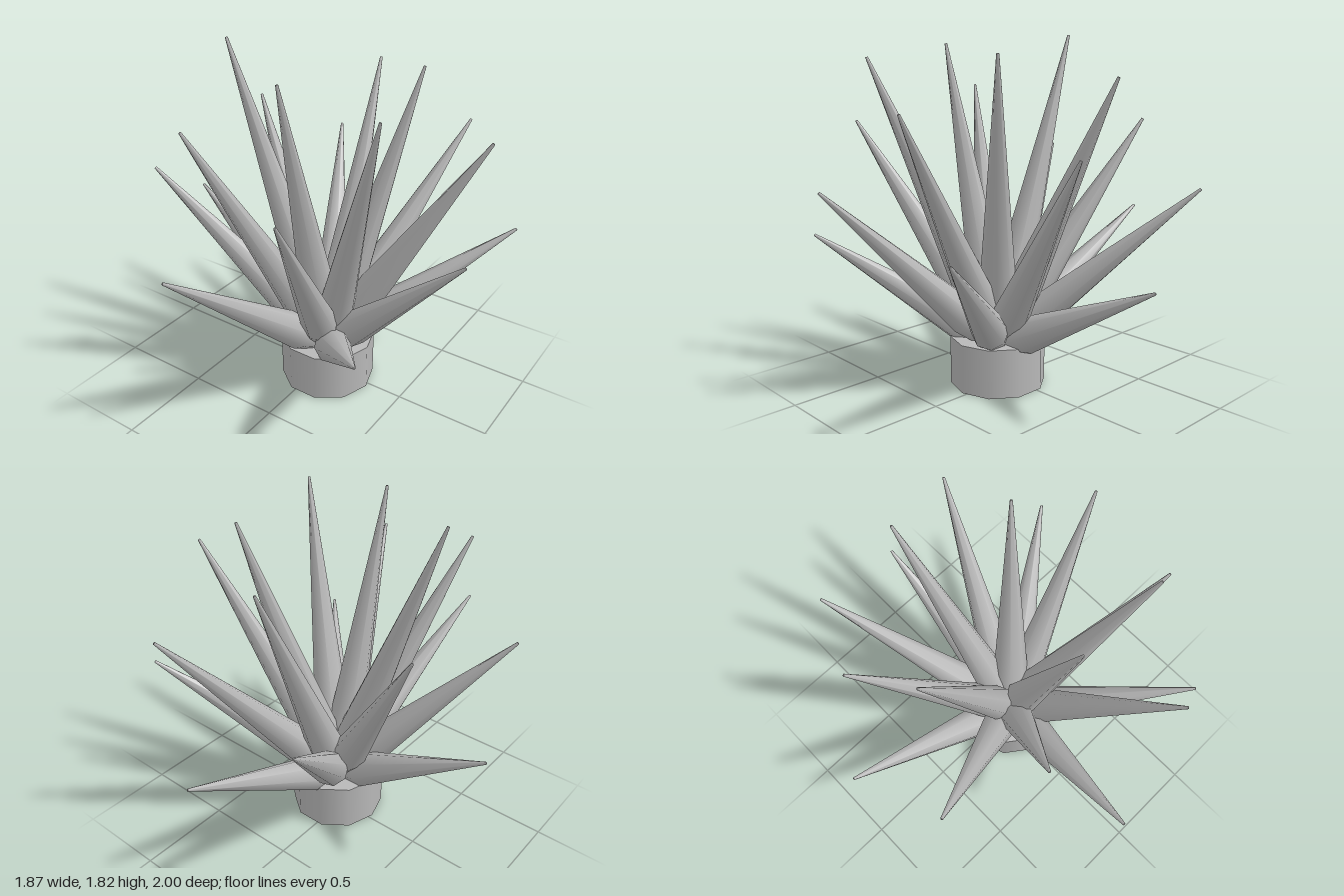
import * as THREE from 'three';

// Tip position of every leaf, [x, y, z]
const TIPS = [
  [0.09, 0.725, -1.0], [0.405, 1.31, -0.84], [0.84, 0.895, -0.54],
  [0.81, 1.48, -0.18], [0.93, 1.1, 0.29], [0.56, 1.71, 0.41],
  [0.685, 0.78, 0.77], [0.35, 1.36, 0.84], [0.05, 1.775, 0.42],
  [-0.16, 1.0, 0.99], [-0.34, 1.54, 0.63], [-0.77, 1.18, 0.4],
  [-0.53, 1.82, 0.07], [-0.93, 0.845, -0.11], [-0.66, 1.385, -0.35],
  [-0.45, 1.095, -0.86], [-0.065, 1.625, -0.65], [0.37, 1.73, -0.32],
];
const ROOT = new THREE.Vector3(0.05, 0.2, 0.025);
const UP = new THREE.Vector3(0, 1, 0);

// Leaf of unit length along y: narrow root, swollen lower part, long taper
function leafGeometry() {
  const profile = [[0, 0], [0.05, 0], [0.097, 0.21], [0.007, 1], [0, 1]];
  return new THREE.LatheGeometry(profile.map(([r, y]) => new THREE.Vector2(r, y)), 8);
}

export function createModel() {
  const model = new THREE.Group();
  model.name = 'spikyPlant';
  const grey = new THREE.MeshStandardMaterial({ color: 0xb8b8b8 });
  grey.name = 'grey';

  // Ten-sided stump the leaves grow from
  const base = new THREE.Mesh(new THREE.CylinderGeometry(0.253, 0.253, 0.26, 10), grey);
  base.name = 'base';
  base.rotation.y = Math.PI / 2;
  base.position.set(ROOT.x, 0.13, ROOT.z);
  model.add(base);

  // Leaves fan out from one root to their tips
  const leaves = new THREE.Group();
  leaves.name = 'leaves';
  const geometry = leafGeometry();
  TIPS.forEach((tip, i) => {
    const axis = new THREE.Vector3(...tip).sub(ROOT);
    const leaf = new THREE.Mesh(geometry, grey);
    leaf.name = `leaf${i + 1}`;
    leaf.position.copy(ROOT);
    leaf.scale.y = axis.length();
    leaf.quaternion.setFromUnitVectors(UP, axis.normalize());
    leaves.add(leaf);
  });
  model.add(leaves);
  return model;
}
